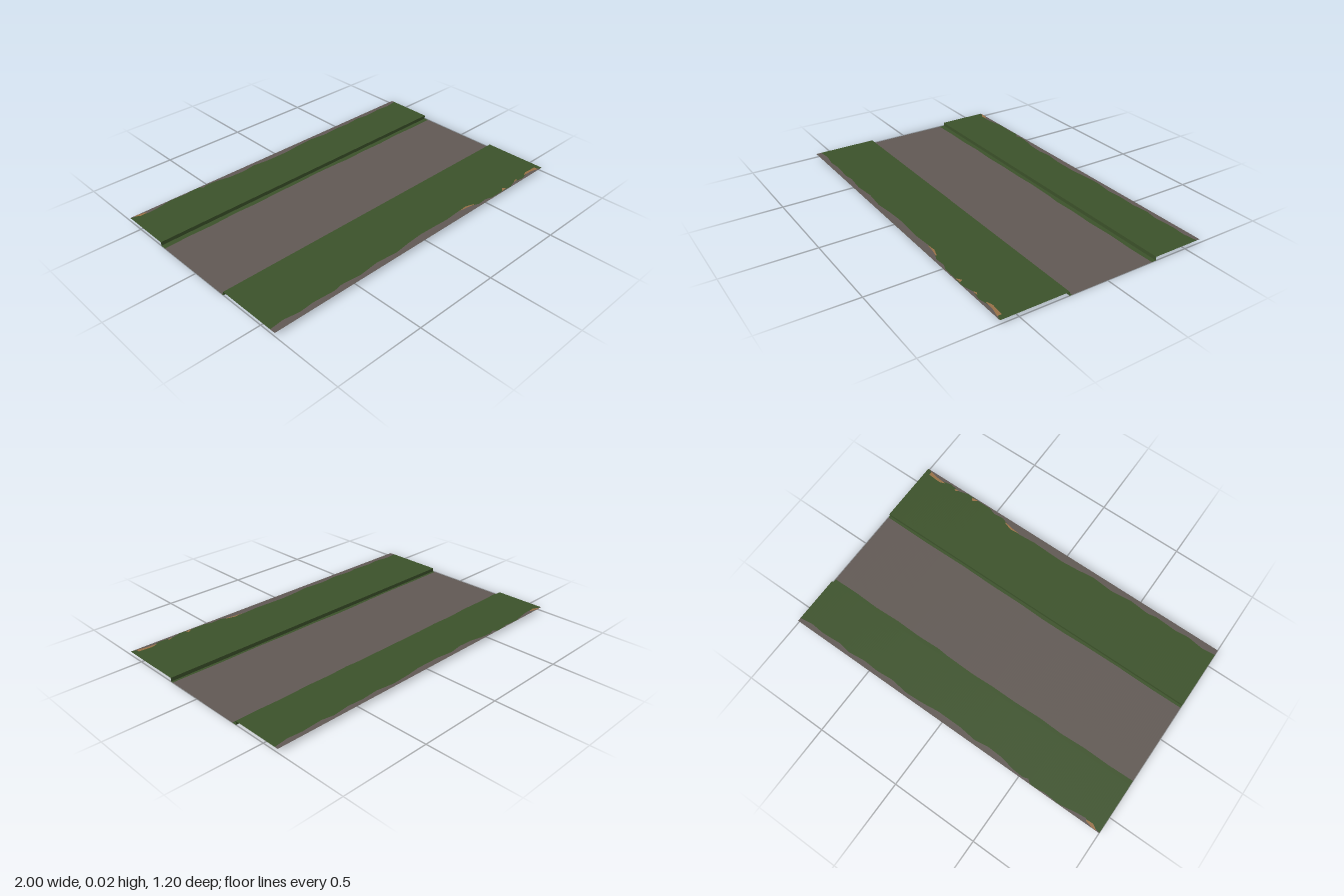
import * as THREE from 'three';

const TOP = 0.021, BACK = -0.305, FRONT = 0.223, EDGE = 0.6;

const material = (name, color) => {
  const m = new THREE.MeshStandardMaterial({ color, side: THREE.DoubleSide });
  m.name = name;
  return m;
};

// z of a border line at x; a border is a number or a list of [x, z] points
function borderAt(border, x) {
  if (typeof border === 'number') return border;
  let i = 1;
  while (i < border.length - 1 && border[i][0] < x) i++;
  const [x0, z0] = border[i - 1], [x1, z1] = border[i];
  return THREE.MathUtils.lerp(z0, z1, (x - x0) / (x1 - x0));
}

// flat, upward-facing sheet between a rear and a front border
function strip(name, mat, y, rear, front, x0 = -1, x1 = 1, steps = 160) {
  const geo = new THREE.PlaneGeometry(x1 - x0, 1, steps, 1).rotateX(-Math.PI / 2);
  geo.translate((x0 + x1) / 2, y, 0);
  const p = geo.attributes.position;
  for (let i = 0; i < p.count; i++) {
    p.setZ(i, borderAt(p.getZ(i) < 0 ? rear : front, p.getX(i)));
  }
  const mesh = new THREE.Mesh(geo, mat);
  mesh.name = name;
  return mesh;
}

// vertical face between the low road and a raised verge
function bank(name, mat, z, turn) {
  const geo = new THREE.PlaneGeometry(2, TOP).rotateY(turn);
  const mesh = new THREE.Mesh(geo, mat);
  mesh.position.set(0, TOP / 2, z);
  mesh.name = name;
  return mesh;
}

export function createModel() {
  const group = new THREE.Group();
  const grass = material('grass green', 0x3d532b);
  const stone = material('road grey', 0x625a55);
  const earth = material('earth tan', 0x9a7248);

  // ragged borders where the grass meets the stone
  const rearOuter = [[-1, -0.597], [-0.9, -0.576], [-0.85, -0.581], [-0.75, -0.598], [-0.66, -0.592],
    [-0.6, -0.599], [-0.57, -0.599], [-0.55, -0.58], [-0.52, -0.591], [-0.45, -0.586], [-0.38, -0.57],
    [-0.28, -0.565], [-0.2, -0.577], [-0.1, -0.565], [0.05, -0.564], [0.14, -0.575], [0.25, -0.581],
    [0.36, -0.567], [0.46, -0.575], [0.55, -0.569], [0.65, -0.58], [0.72, -0.568], [0.84, -0.576],
    [0.92, -0.569], [1, -0.58]];
  const rearInner = [[-1, -0.272], [-0.85, -0.276], [-0.7, -0.273], [-0.55, -0.28], [-0.42, -0.275],
    [-0.25, -0.28], [-0.1, -0.279], [0.02, -0.284], [0.2, -0.28], [0.27, -0.274], [0.4, -0.279],
    [0.55, -0.275], [0.7, -0.281], [0.85, -0.276], [1, -0.279]];
  const frontInner = [[-1, 0.209], [-0.8, 0.207], [-0.6, 0.21], [-0.4, 0.208], [-0.25, 0.203],
    [-0.1, 0.202], [0.05, 0.207], [0.25, 0.206], [0.45, 0.21], [0.7, 0.207], [1, 0.21]];
  const frontOuter = [[-1, 0.568], [-0.92, 0.56], [-0.83, 0.573], [-0.75, 0.565], [-0.62, 0.573],
    [-0.57, 0.563], [-0.45, 0.574], [-0.33, 0.561], [-0.2, 0.572], [-0.1, 0.56], [0, 0.553],
    [0.1, 0.556], [0.2, 0.56], [0.3, 0.553], [0.38, 0.562], [0.44, 0.585], [0.5, 0.58], [0.54, 0.594],
    [0.64, 0.594], [0.7, 0.598], [0.76, 0.58], [0.82, 0.592], [0.9, 0.575], [0.97, 0.585], [0.98, 0.598], [1, 0.598]];

  // raised verges, with worn stone along the outer edges
  group.add(
    strip('rearStoneEdge', stone, TOP, -EDGE, rearOuter),
    strip('rearVerge', grass, TOP, rearOuter, BACK),
    strip('frontVerge', grass, TOP, FRONT, frontOuter),
    strip('frontStoneEdge', stone, TOP, frontOuter, EDGE),
  );

  // banks down to the road and the grass fringes at their feet
  group.add(
    bank('rearBank', grass, BACK, 0),
    bank('frontBank', grass, FRONT, Math.PI),
    strip('rearFringe', grass, 0, BACK, rearInner),
    strip('road', stone, 0, rearInner, frontInner),
    strip('frontFringe', grass, 0, frontInner, FRONT),
  );

  // bare earth patches: rear border and front border, tapering at the ends
  const patches = [
    [[[-0.98, -0.599], [-0.95, -0.597], [-0.91, -0.587]], [[-0.98, -0.597], [-0.95, -0.578], [-0.91, -0.58]]],
    [[[0.3, 0.556], [0.36, 0.55], [0.41, 0.566]], [[0.3, 0.556], [0.36, 0.562], [0.41, 0.572]]],
    [[[0.63, 0.592], [0.655, 0.574], [0.665, 0.588]], [[0.63, 0.594], [0.655, 0.592], [0.665, 0.592]]],
    [[[0.76, 0.58], [0.775, 0.572], [0.79, 0.578]], [[0.76, 0.582], [0.775, 0.582], [0.79, 0.58]]],
    [[[0.86, 0.575], [0.89, 0.564], [0.97, 0.57]], [[0.86, 0.578], [0.92, 0.582], [0.97, 0.594]]],
  ];
  for (const [rear, front] of patches) {
    const x0 = rear[0][0], x1 = rear[2][0];
    for (const dy of [-0.001, 0.001]) {
      group.add(strip('earthPatch', earth, TOP + dy, rear, front, x0, x1, 12));
    }
  }
  return group;
}
